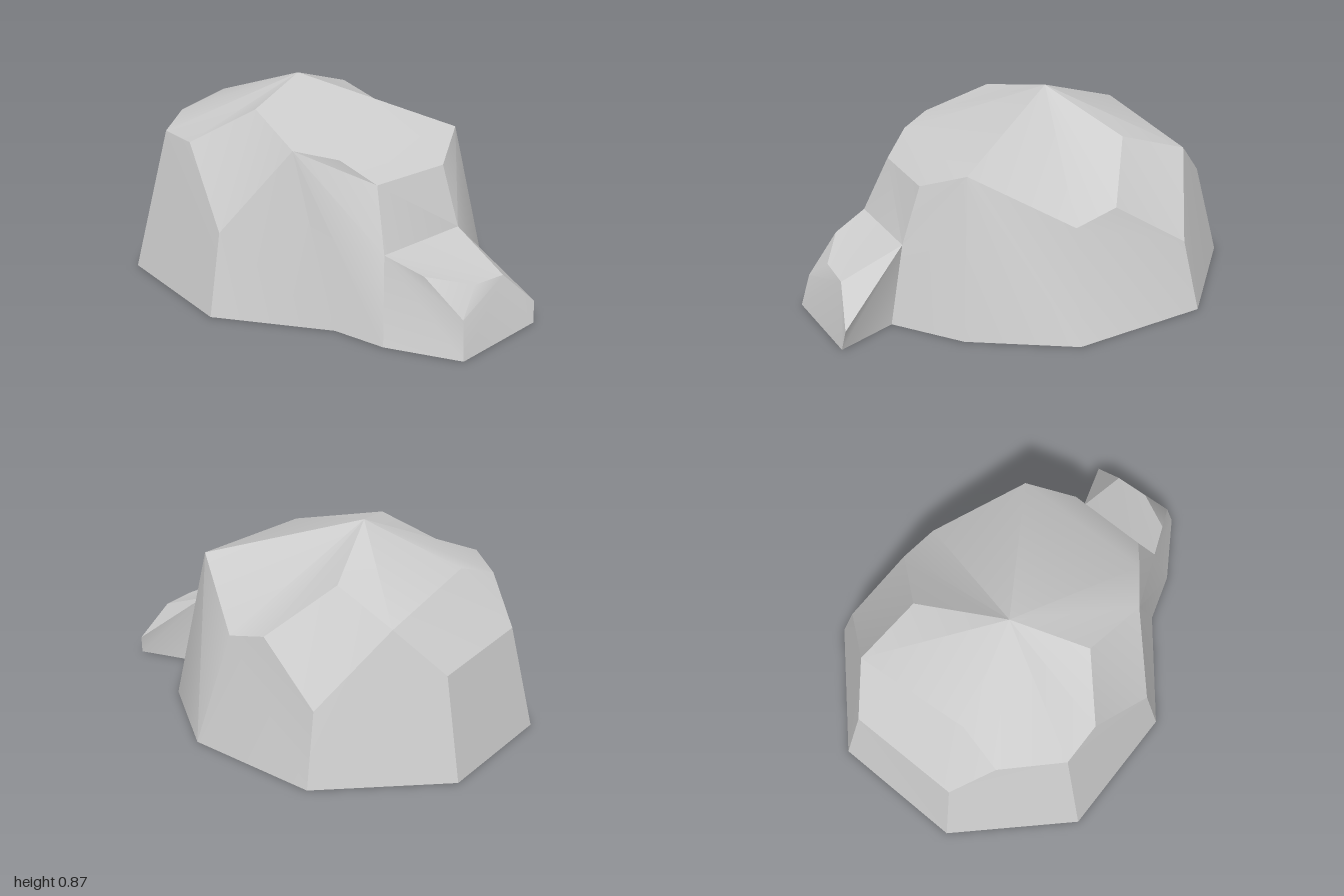
import * as THREE from 'three';
import { toCreasedNormals } from 'three/addons/utils/BufferGeometryUtils.js';

// Corner points, counted around the boulder from the front-left
const base = {
  b0: [-0.77, 0, 0.57], b1: [-0.2, 0, 0.8], b2: [0.31, 0, 0.65], b3: [0.54, 0, 0.67],
  b4: [0.73, 0, 0.18], b5: [0.64, 0, -0.16], b6: [0.37, 0, -0.57], b7: [-0.2, 0, -0.8],
  b8: [-0.77, 0, -0.57], b9: [-1, 0, 0],
};
const shoulder = {
  s0: [-0.65, 0.64, 0.45], s1: [-0.47, 0.64, 0.52], s2: [-0.2, 0.35, 0.71], s3: [0.07, 0.71, 0.56],
  s4: [0.26, 0.69, 0.515], s5: [0.41, 0.6, 0.48], s6: [0.55, 0.6, 0.15], s7: [0.505, 0.69, -0.08],
  s8: [0.25, 0.47, -0.45], s9: [0.07, 0.52, -0.525], s10: [-0.2, 0.31, -0.71], s11: [-0.47, 0.62, -0.525],
  s12: [-0.69, 0.43, -0.485], s13: [-0.885, 0.46, 0], s14: [-0.767, 0.64, 0.176],
};
const crown = { peak: [-0.2, 0.87, 0.06], front: [-0.2, 0.8, 0.41], back: [-0.2, 0.72, -0.37], left: [-0.65, 0.71, 0] };
const ledge = {
  l0: [0.49, 0.35, 0.57], l1: [0.64, 0.35, 0.18], l2: [0.665, 0.3, 0.572], l3: [0.835, 0.155, 0.575],
  l4: [0.83, 0.25, 0.45], l5: [0.89, 0.24, 0.3], l6: [0.99, 0.09, 0.18], l7: [1, 0, 0.2], l8: [0.86, 0, 0.615],
};
const points = { ...base, ...shoulder, ...crown, ...ledge };

// Facets listed counter-clockwise from outside
const wallFacets = [
  's0 b0 b1 s2 s1', 's2 b1 b2 s3', 's3 b2 b3 l0 s5 s4', 's5 l0 l1 s6', 's7 s6 l1 b4 b5',
  's7 b5 b6 s8', 's8 b6 b7 s10 s9', 's11 s10 b7 b8 s12', 's12 b8 b9 s13', 's13 b9 b0 s0 s14',
];
const crownFacets = [
  'front s1 s2 s3', 'peak front s3 s4 s7', 's4 s5 s6 s7', 'peak s7 s8', 'peak s8 s9 back',
  'back s9 s10 s11', 'peak back s11 left', 's13 s14 left s11 s12', 'peak left s14 s0 s1 front',
];
const ledgeFacets = [
  'l0 l2 l4 l5 l1', 'l2 l3 l4', 'l0 b3 l8 l3 l2', 'l5 l4 l3 l8 l7 l6', 'l1 l5 l6', 'l1 l6 l7 b4',
];

// Fans each facet into triangles
function facetGeometry(facets) {
  const positions = [];
  for (const facet of facets) {
    const c = facet.split(' ').map((name) => points[name]);
    for (let i = 1; i < c.length - 1; i++) positions.push(...c[0], ...c[i], ...c[i + 1]);
  }
  const geometry = new THREE.BufferGeometry();
  geometry.setAttribute('position', new THREE.Float32BufferAttribute(positions, 3));
  return toCreasedNormals(geometry, 0.42);
}

export function createModel() {
  const stone = new THREE.MeshStandardMaterial({ color: 0xcccccc, side: THREE.DoubleSide });
  stone.name = 'stone grey';

  const boulder = new THREE.Group();
  boulder.name = 'boulder';
  // The shell is open underneath
  const parts = { boulderWalls: wallFacets, boulderCrown: crownFacets, sideLedge: ledgeFacets };
  for (const [name, facets] of Object.entries(parts)) {
    const mesh = new THREE.Mesh(facetGeometry(facets), stone);
    mesh.name = name;
    boulder.add(mesh);
  }
  return boulder;
}
